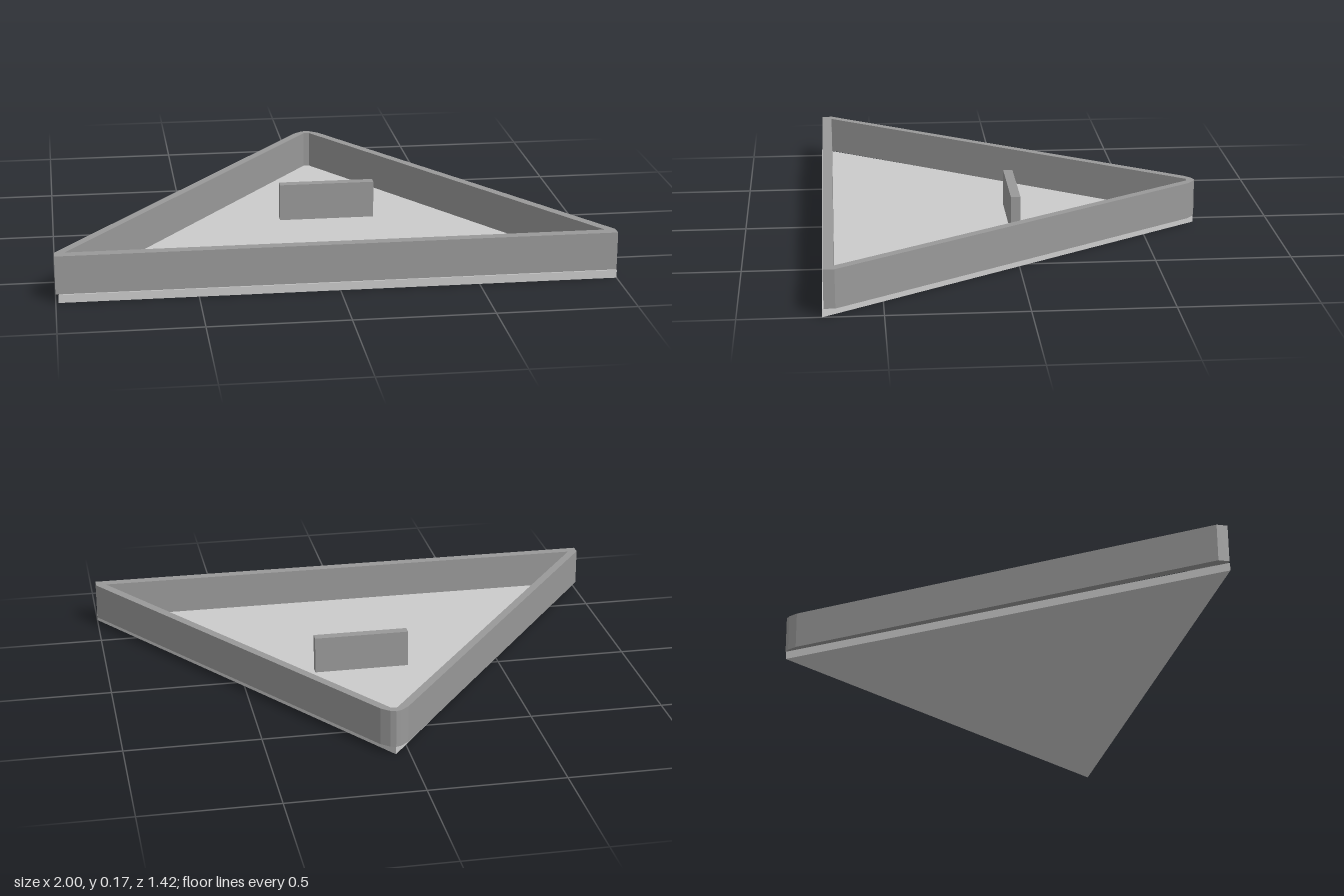
import * as THREE from 'three';

const FLOOR = 0.03, TOP = 0.17;

// Extrudes a plan outline of [x, z] points upward from y0 to y1.
function slab(name, outline, y0, y1, material, hole) {
  const points = (list) => list.map(([x, z]) => new THREE.Vector2(x, -z));
  const shape = new THREE.Shape(points(outline));
  if (hole) shape.holes.push(new THREE.Path(points(hole)));
  const geometry = new THREE.ExtrudeGeometry(shape, { depth: y1 - y0, bevelEnabled: false });
  geometry.rotateX(-Math.PI / 2);
  geometry.translate(0, y0, 0);
  const mesh = new THREE.Mesh(geometry, material);
  mesh.name = name;
  return mesh;
}

export function createModel() {
  const model = new THREE.Group();
  model.name = 'triangularTray';
  const floorMaterial = new THREE.MeshStandardMaterial({ color: 0xcccccc });
  const wallMaterial = new THREE.MeshStandardMaterial({ color: 0x999999 });

  // Sharp triangular floor, set slightly inside the slanted walls
  model.add(slab('floor', [[-0.99, 0.71], [1, 0.71], [0.05, -0.71]], 0, FLOOR, floorMaterial));

  // Rim wall with squared front corners and a blunted apex
  const outer = [
    [-1, 0.705], [1, 0.705], [1, 0.665], [0.1, -0.68],
    [0.07, -0.705], [0.05, -0.712], [0.03, -0.705], [0, -0.68], [-1, 0.665],
  ];
  const inner = [[-0.963, 0.667], [0.04, -0.68], [0.062, -0.68], [0.96, 0.667]];
  model.add(slab('rimWall', outer, FLOOR, TOP, wallMaterial, inner));

  // Free-standing divider in the middle
  const divider = new THREE.Mesh(new THREE.BoxGeometry(0.36, TOP - FLOOR, 0.036), wallMaterial);
  divider.name = 'centreDivider';
  divider.position.set(0.045, (TOP + FLOOR) / 2, -0.012);
  model.add(divider);

  return model;
}
